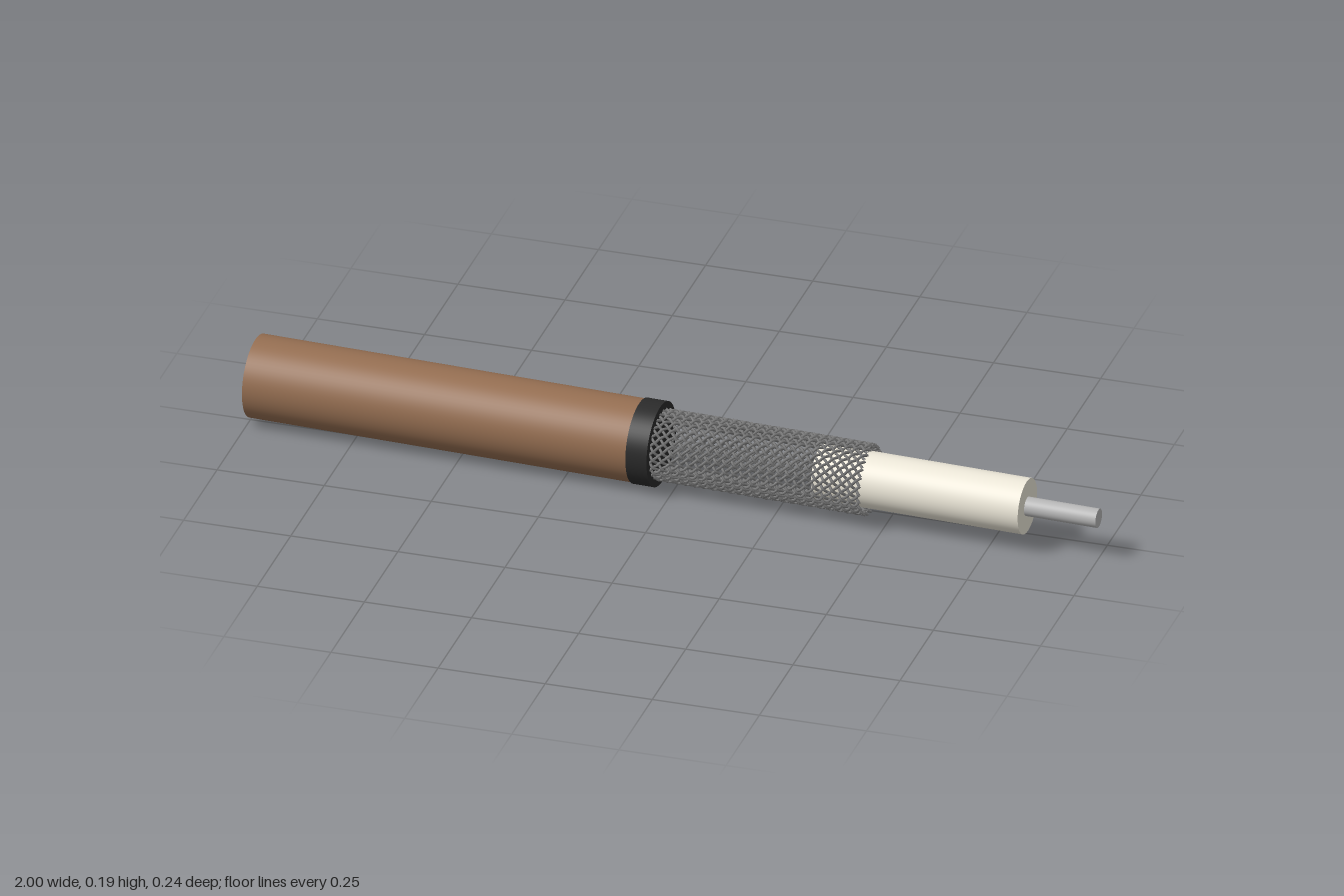
import * as THREE from 'three';
import { mergeGeometries } from 'three/addons/utils/BufferGeometryUtils.js';

const BRAID = { start: -0.05, end: 0.46, radius: 0.077, wave: 0.0028, wire: 0.0033, count: 24, turns: 1 };

// One woven wire: a helix whose radius rises and falls at each crossing.
class WireCurve extends THREE.Curve {
  constructor(index, dir) {
    super();
    this.index = index;
    this.dir = dir;
  }
  getPoint(t, target = new THREE.Vector3()) {
    const { start, end, radius, wave, count, turns } = BRAID;
    const angle = (this.index / count + this.dir * turns * t) * Math.PI * 2;
    const crossing = this.index + 2 * this.dir * turns * t * count;
    const r = radius + this.dir * wave * Math.cos(Math.PI * (crossing + this.index));
    return target.set(start + (end - start) * t, r * Math.cos(angle), r * Math.sin(angle));
  }
}

export function createModel() {
  const model = new THREE.Group();
  model.name = 'strippedCable';
  const cable = new THREE.Group();
  cable.name = 'cable';
  cable.position.set(0, 0.0975, 0.015);
  cable.rotation.y = -0.0435;
  model.add(cable);

  const add = (name, geometry, color) => {
    const mesh = new THREE.Mesh(geometry, new THREE.MeshStandardMaterial({ color }));
    mesh.name = name;
    cable.add(mesh);
  };
  // Capped rod lying along x
  const rod = (name, from, to, radius, color) => {
    const g = new THREE.CylinderGeometry(radius, radius, to - from, 64);
    g.rotateZ(-Math.PI / 2);
    g.translate((from + to) / 2, 0, 0);
    add(name, g, color);
  };

  rod('outerJacket', -0.996, -0.085, 0.095, 0x966f52);
  rod('jacketCollar', -0.087, -0.037, 0.0975, 0x2b2b2b);
  rod('insulation', 0.34, 0.83, 0.064, 0xefeadb);
  rod('coreConductor', 0.34, 0.999, 0.022, 0xb8b8b8);

  // Open woven shield, wires running both ways round
  const wires = [];
  for (const dir of [1, -1]) {
    for (let i = 0; i < BRAID.count; i++) {
      wires.push(new THREE.TubeGeometry(new WireCurve(i, dir), 168, BRAID.wire, 5, false));
    }
  }
  add('braidedShield', mergeGeometries(wires), 0x7c7c7c);

  return model;
}
